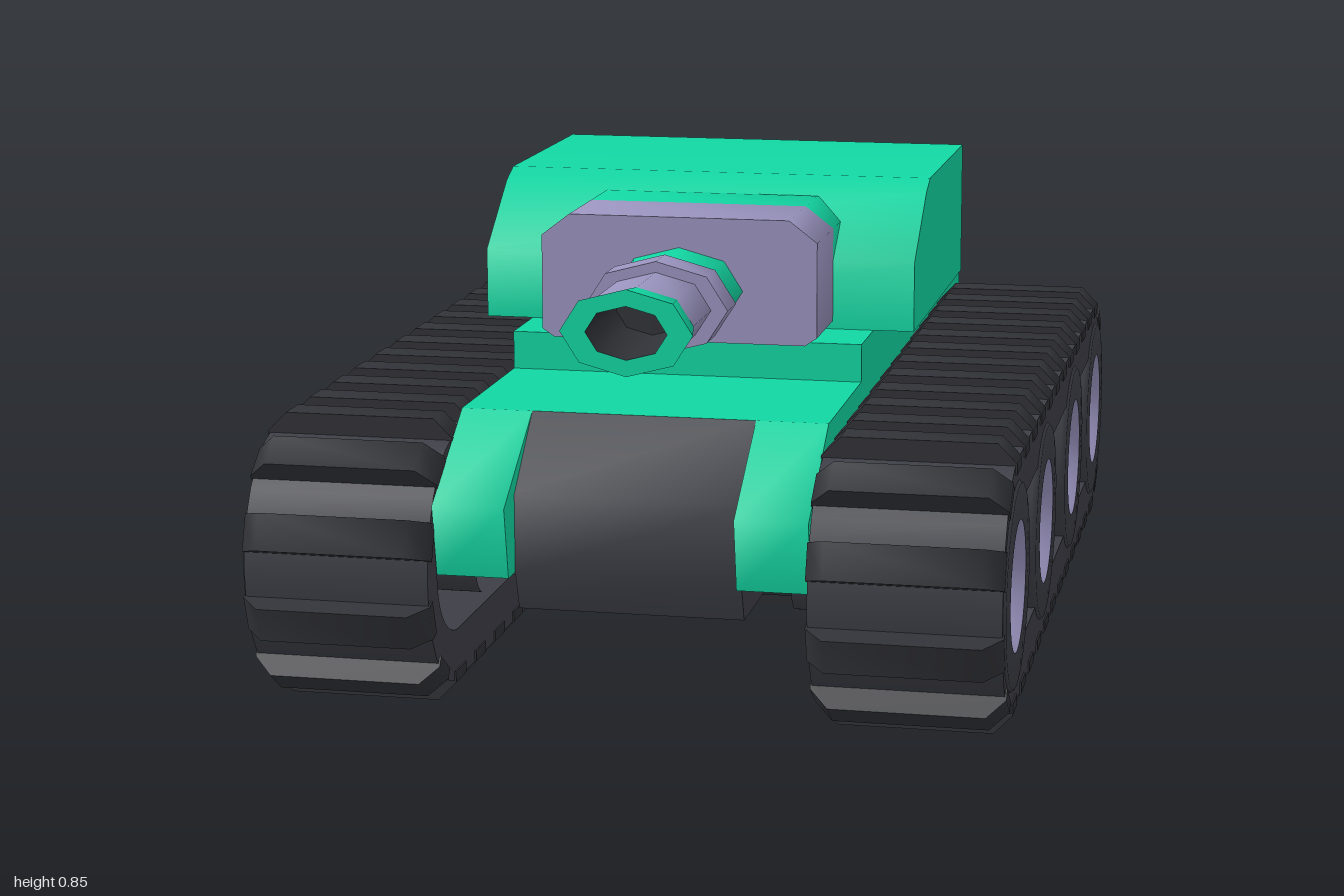
import * as THREE from 'three';
import { toCreasedNormals } from 'three/addons/utils/BufferGeometryUtils.js';

const paint = (color) => new THREE.MeshStandardMaterial({ color });
const green = paint(0x12d6a2), dark = paint(0x3d3e46), purple = paint(0x9a94bf);
const red = paint(0xe04444), black = paint(0x313237);

export function createModel() {
  const model = new THREE.Group();

  function add(name, geometry, material, parent = model) {
    const mesh = new THREE.Mesh(toCreasedNormals(geometry, 1.2), material);
    mesh.name = name;
    parent.add(mesh);
    return mesh;
  }

  // box given by its limits on each axis
  function box(name, material, x0, x1, y0, y1, z0, z1) {
    const g = new THREE.BoxGeometry(x1 - x0, y1 - y0, z1 - z0);
    g.translate((x0 + x1) / 2, (y0 + y1) / 2, (z0 + z1) / 2);
    return add(name, g, material);
  }

  const shapeOf = (pts) => new THREE.Shape(pts.map(([a, b]) => new THREE.Vector2(a, b)));

  // side profile (z, y) extruded across x, centred on x
  function across(shape, width, x = 0) {
    const g = new THREE.ExtrudeGeometry(shape, { depth: width, bevelEnabled: false, curveSegments: 9 });
    return g.translate(0, 0, -width / 2).rotateY(-Math.PI / 2).translate(x, 0, 0);
  }

  const lathe = (pts, sides) => new THREE.LatheGeometry(pts.map(([r, y]) => new THREE.Vector2(r, y)), sides);

  // hull, with green upper parts over a dark lower part
  const W = 0.328;
  add('upperHull', across(shapeOf([[-1, 0.39], [0.4, 0.39], [0.4, 0.262], [0.745, 0.262], [0.745, 0.52], [-1, 0.52]]), 2 * W), green);
  box('lowerHull', dark, -W, W, 0.26, 0.39, -1, 0.4);
  box('noseFloor', dark, -W, W, 0.255, 0.262, 0.4, 0.87);
  box('deck', green, -W, W, 0.52, 0.59, -0.57, 0.39);

  // belly, narrowing towards the bottom
  const belly = across(shapeOf([[-1, 0.26], [-0.77, 0.125], [0.45, 0.125], [0.65, 0.26]]), 2 * W);
  const bp = belly.attributes.position;
  for (let i = 0; i < bp.count; i++) if (bp.getY(i) < 0.2) bp.setX(i, bp.getX(i) * 0.265 / W);
  add('belly', belly, dark);

  // nose: two cheeks and a plate between them
  const cheek = shapeOf([[0.745, 0.262], [0.92, 0.262], [0.945, 0.39], [0.745, 0.52]]);
  for (const s of [1, -1]) {
    add('noseCheek', across(cheek, 0.128, s * 0.264), green);
    box('tailLight', red, s * 0.269 - 0.058, s * 0.269 + 0.058, 0.32, 0.39, -1.001, -0.98);
  }
  add('nosePlate', across(shapeOf([[0.6, 0.19], [0.85, 0.19], [0.875, 0.26], [0.875, 0.4], [0.745, 0.52], [0.745, 0.27], [0.6, 0.25]]), 0.4), dark);

  // turret
  const cx = -0.006;
  add('turret', across(shapeOf([[-0.43, 0.59], [0.25, 0.59], [0.25, 0.72], [0.1, 0.83], [0.05, 0.85], [-0.43, 0.85]]), 0.82, cx), green);
  box('turretRearBox', purple, cx - 0.205, cx + 0.205, 0.59, 0.785, -0.6, -0.43);

  // mantlet with cut corners, green at the back and purple in front
  const mantlet = shapeOf([[-0.235, 0.59], [0.235, 0.59], [0.257, 0.605], [0.257, 0.78], [0.205, 0.82],
    [-0.205, 0.82], [-0.257, 0.78], [-0.257, 0.605]]);
  for (const [name, mat, z0, z1] of [['mantletBase', green, 0.12, 0.25], ['mantlet', purple, 0.25, 0.425]]) {
    const g = new THREE.ExtrudeGeometry(mantlet, { depth: z1 - z0, bevelEnabled: false });
    add(name, g.translate(cx, 0, z0), mat);
  }

  // gun: flattened eight-sided sections (radius, z)
  const gun = [
    ['gunRoot', green, [[0.12, 0.42], [0.09, 0.55]]],
    ['gunCollar', purple, [[0.09, 0.545], [0.13, 0.545], [0.13, 0.62], [0.1, 0.62]]],
    ['gunTube', purple, [[0.1, 0.62], [0.1, 0.77]]],
    ['muzzle', green, [[0.1, 0.77], [0.117, 0.855], [0.072, 0.855]]],
    ['bore', black, [[0.072, 0.855], [0.065, 0.65], [0, 0.65]]],
  ];
  for (const [name, mat, pts] of gun) {
    add(name, lathe(pts, 8).rotateX(Math.PI / 2).scale(1, 0.65, 1).translate(cx + 0.001, 0.687, 0), mat);
  }

  // running gear
  const zF = 0.782, zB = -0.67, yC = 0.258, a = 0.188, b = 0.222;
  const loop = (path, rz, ry) => path
    .absellipse(zF, yC, rz, ry, -Math.PI / 2, Math.PI / 2)
    .absellipse(zB, yC, rz, ry, Math.PI / 2, Math.PI * 1.5);
  const belt = loop(new THREE.Shape(), a, b);
  belt.holes.push(loop(new THREE.Path(), 0.13, 0.13));

  // lug places: z, y and the angle of the outward direction
  const lugs = [];
  for (let i = 0; i < 12; i++) {
    const z = zF + (zB - zF) * i / 11;
    lugs.push([z, yC + b, Math.PI / 2], [z, yC - b, -Math.PI / 2]);
  }
  for (const deg of [-55, -19, 19, 55]) {
    const t = THREE.MathUtils.degToRad(deg);
    const dz = a * Math.cos(t), dy = b * Math.sin(t);
    lugs.push([zF + dz, yC + dy, t], [zB - dz, yC + dy, Math.PI - t]);
  }
  const lugShape = shapeOf([[-0.168, -0.02], [0.168, -0.02], [0.168, 0], [0.135, 0.034], [-0.135, 0.034], [-0.168, 0]]);
  const lugGeo = new THREE.ExtrudeGeometry(lugShape, { depth: 0.066, bevelEnabled: false }).translate(0, 0, -0.033);

  // wheel profiles (radius, distance from the middle); the tire starts with its axle
  const tire = [[0.06, 0.28], [0.06, 0.42], [0.187, 0.42], [0.187, 0.655], [0.178, 0.665], [0.115, 0.665]];
  const hub = [[0.115, 0.665], [0.075, 0.61], [0.07, 0.585], [0.037, 0.585], [0.037, 0.63], [0.028, 0.63], [0.026, 0.62], [0, 0.62]];

  for (const s of [1, -1]) {
    const track = new THREE.Group();
    track.name = s > 0 ? 'leftTrack' : 'rightTrack';
    model.add(track);
    add('belt', across(belt, 0.33, s * 0.495), dark, track);
    for (const [z, y, t] of lugs) {
      const lug = add('lug', lugGeo, black, track);
      lug.position.set(s * 0.495, y, z);
      lug.rotation.x = Math.PI / 2 - t;
    }
    for (const z of [zF, 0.32, -0.207, zB]) {
      const wheel = new THREE.Group();
      wheel.name = 'wheel';
      add('tire', lathe(tire, 32), dark, wheel);
      add('hub', lathe(hub, 32), purple, wheel);
      wheel.position.set(0, yC, z);
      wheel.rotation.z = -s * Math.PI / 2;
      track.add(wheel);
    }
  }
  return model;
}
